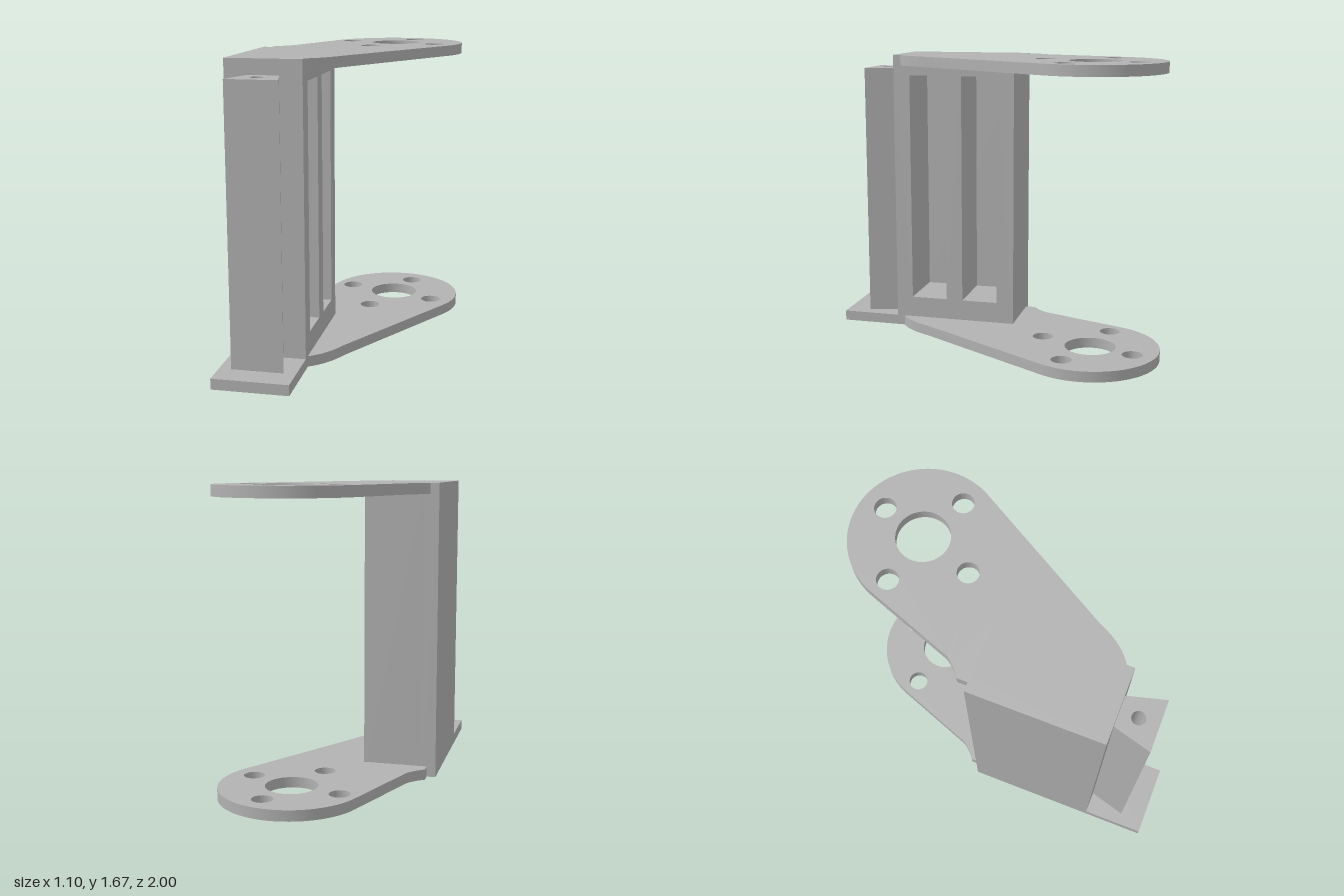
import * as THREE from 'three';
import { toCreasedNormals } from 'three/addons/utils/BufferGeometryUtils.js';

const HEIGHT = 1.675, PLATE = 0.06;
const LEFT = -0.555, RIGHT = -0.135, BACK = -0.09, FRONT = 0.65;
const POCKET_DEPTH = 0.34;

export function createModel() {
  const group = new THREE.Group();
  const grey = new THREE.MeshStandardMaterial({ color: 0xb2b2b2 });
  grey.name = 'grey';

  const add = (name, geometry, x = 0, y = 0, z = 0) => {
    const mesh = new THREE.Mesh(geometry, grey);
    mesh.name = name;
    mesh.position.set(x, y, z);
    group.add(mesh);
  };
  const hole = (shape, x, z, r) => {
    shape.holes.push(new THREE.Path().absarc(x, -z, r, 0, Math.PI * 2, true));
  };
  // Shapes are drawn in plan (x, -z) and extruded upwards
  const extrudeUp = (shape, depth) => toCreasedNormals(
    new THREE.ExtrudeGeometry(shape, { depth, bevelEnabled: false, curveSegments: 24 }).rotateX(-Math.PI / 2), 0.5);

  // Arm plate: rounded end, tangent sides and small fillets into the wall
  const cx = 0.145, cz = -0.595, r = 0.405;
  const arm = new THREE.Shape();
  arm.moveTo(RIGHT, -BACK);
  arm.lineTo(RIGHT, -0.605);
  arm.quadraticCurveTo(-0.04, -0.55, 0.025, -0.405);
  arm.absarc(cx, -cz, r, -0.534, Math.PI - 0.327, false);
  arm.lineTo(-0.415, 0.24);
  arm.quadraticCurveTo(-0.45, 0.185, -0.505, 0.15);
  arm.lineTo(-0.505, -BACK);
  arm.closePath();
  hole(arm, 0.145, -0.607, 0.145);
  [[-0.143, -0.68], [0.227, -0.857], [0.4, -0.488], [0.04, -0.312]]
    .forEach(([x, z]) => hole(arm, x, z, 0.059));
  const armGeometry = extrudeUp(arm, PLATE);
  add('lowerArm', armGeometry);
  add('upperArm', armGeometry, 0, HEIGHT - PLATE);

  // Upright wall: pocketed half drawn in (-z, y) and extruded along +x
  const side = new THREE.Shape();
  const rect = (path, z0, z1, y0, y1) => {
    path.moveTo(-z1, y0);
    path.lineTo(-z0, y0);
    path.lineTo(-z0, y1);
    path.lineTo(-z1, y1);
    path.closePath();
    return path;
  };
  rect(side, BACK, FRONT, 0, HEIGHT);
  for (const [z0, z1] of [[0.33, 0.55], [0.015, 0.23]]) {
    side.holes.push(rect(new THREE.Path(), z0, z1, 0.185, 1.555));
  }
  add('pocketedWall', new THREE.ExtrudeGeometry(side, { depth: POCKET_DEPTH, bevelEnabled: false })
    .rotateY(Math.PI / 2), RIGHT - POCKET_DEPTH);
  const skin = RIGHT - POCKET_DEPTH - LEFT;
  add('wallBacking', new THREE.BoxGeometry(skin, HEIGHT, FRONT - BACK),
    LEFT + skin / 2, HEIGHT / 2, (FRONT + BACK) / 2);

  // Foot in front of the wall
  add('foot', new THREE.BoxGeometry(RIGHT - LEFT, PLATE, 1 - FRONT),
    (LEFT + RIGHT) / 2, PLATE / 2, (1 + FRONT) / 2);

  // Dovetail post with a bore from the top
  const post = new THREE.Shape();
  post.moveTo(-0.43, -FRONT);
  post.lineTo(-0.488, -0.86);
  post.lineTo(-0.202, -0.86);
  post.lineTo(-0.26, -FRONT);
  post.closePath();
  hole(post, -0.345, 0.75, 0.037);
  add('dovetailPost', extrudeUp(post, 1.59 - PLATE), 0, PLATE);

  return group;
}
